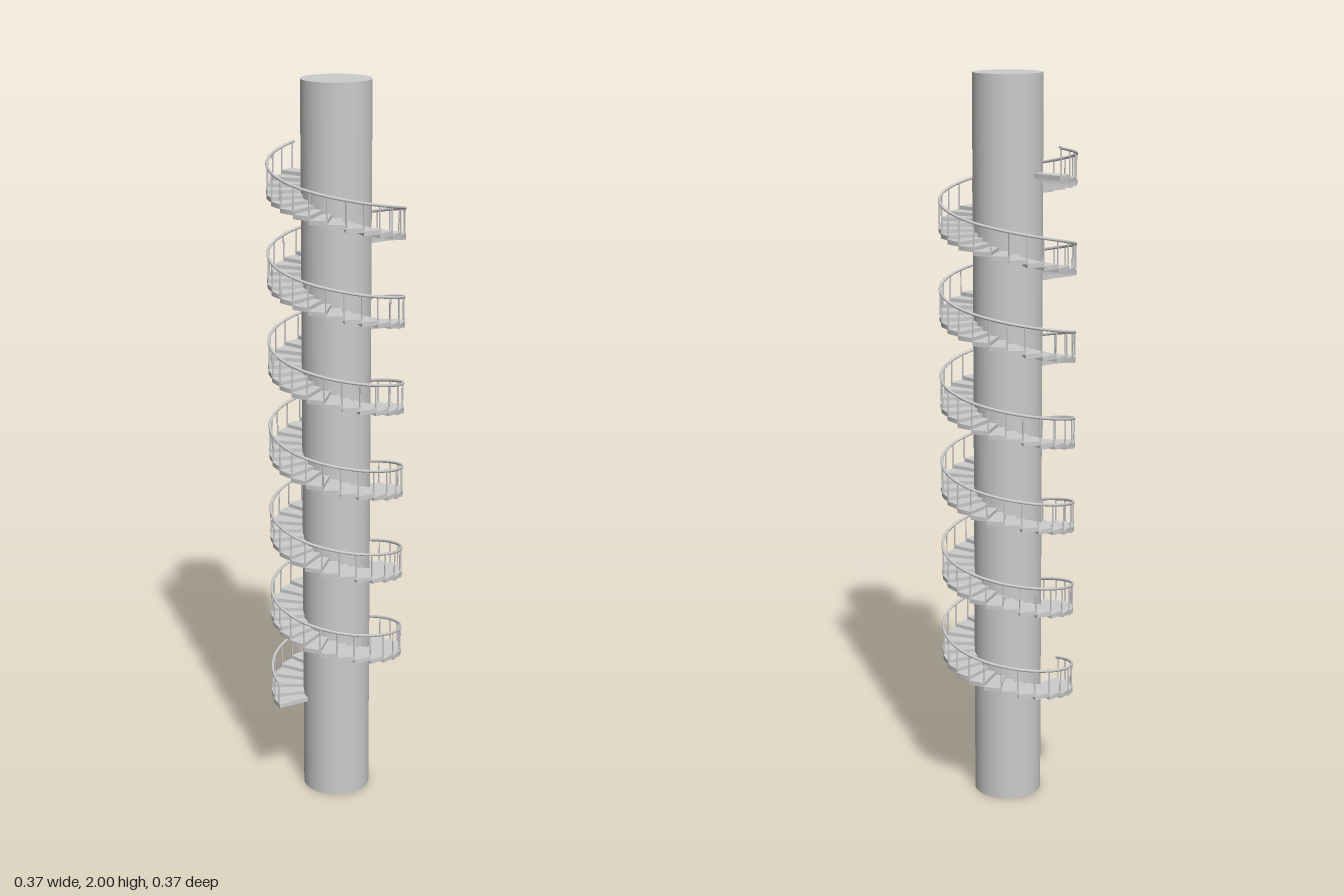
import * as THREE from 'three';

const STEPS = 150;
const START = THREE.MathUtils.degToRad(145);          // angle of the first step edge, from +x towards +z
const STEP_ANGLE = THREE.MathUtils.degToRad(2241.5 / STEPS);
const RISE = 0.00983;
const BASE = 0.27;                                     // underside of the first step
const COLUMN_R = 0.0925, TREAD_R = 0.182, RAIL_R = 0.1795;
const TREAD_H = 0.012, RAIL_H = 0.074, RAIL_T = 0.004;

// Helix running above the undersides of the steps; t counts steps
class Helix extends THREE.Curve {
  getPoint(t, target = new THREE.Vector3()) {
    const a = START + t * STEPS * STEP_ANGLE;
    return target.set(RAIL_R * Math.cos(a), BASE + RAIL_H + t * STEPS * RISE, RAIL_R * Math.sin(a));
  }
  getPointAt(t, target) { return this.getPoint(t, target); }
  getTangentAt(t, target) { return this.getTangent(t, target); }
}

// Wedge-shaped tread centred on the +x axis
function treadGeometry() {
  const h = STEP_ANGLE / 2;
  const shape = new THREE.Shape();
  shape.absarc(0, 0, TREAD_R, -h, h, false);
  shape.absarc(0, 0, COLUMN_R - 0.004, h, -h, true);
  shape.closePath();
  return new THREE.ExtrudeGeometry(shape, { depth: TREAD_H, bevelEnabled: false, curveSegments: 3 })
    .rotateX(-Math.PI / 2);
}

export function createModel() {
  const model = new THREE.Group();
  model.name = 'spiralStairTower';
  const mat = new THREE.MeshStandardMaterial({ color: 0xcccccc });
  const railMat = new THREE.MeshStandardMaterial({ color: 0xcccccc, side: THREE.DoubleSide });

  // Central column
  const column = new THREE.Mesh(new THREE.CylinderGeometry(COLUMN_R, COLUMN_R, 2, 64), mat);
  column.name = 'column';
  column.position.y = 1;
  model.add(column);

  // Treads
  const treads = new THREE.Group();
  treads.name = 'treads';
  const treadGeo = treadGeometry();
  for (let i = 0; i < STEPS; i++) {
    const tread = new THREE.Mesh(treadGeo, mat);
    tread.name = 'tread';
    tread.position.y = BASE + i * RISE;
    tread.rotation.y = -(START + (i + 0.5) * STEP_ANGLE);
    treads.add(tread);
  }
  model.add(treads);

  // Balusters: one at each step edge, including both ends of the stair
  const balusters = new THREE.Group();
  balusters.name = 'balusters';
  const postGeo = new THREE.CylinderGeometry(0.0022, 0.0022, RAIL_H, 6).translate(0, RAIL_H / 2, 0);
  for (let i = 0; i <= STEPS; i++) {
    const t = THREE.MathUtils.clamp(i, 0.15, STEPS - 0.15);
    const a = START + t * STEP_ANGLE;
    const post = new THREE.Mesh(postGeo, mat);
    post.name = 'baluster';
    post.position.set(RAIL_R * Math.cos(a), BASE + t * RISE, RAIL_R * Math.sin(a));
    balusters.add(post);
  }
  model.add(balusters);

  // Handrail
  const rail = new THREE.Mesh(new THREE.TubeGeometry(new Helix(), STEPS * 3, RAIL_T, 8), railMat);
  rail.name = 'handrail';
  model.add(rail);

  return model;
}
